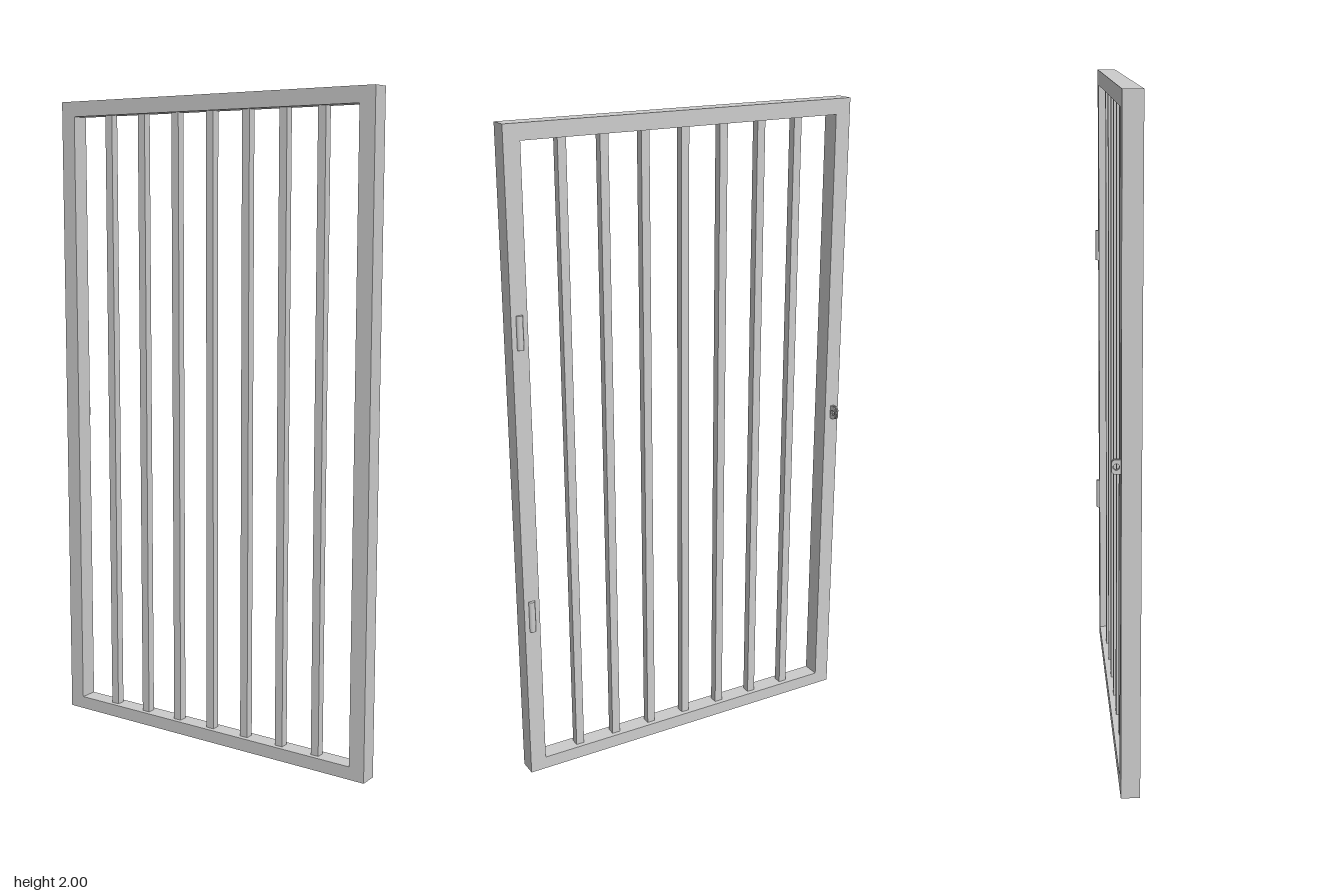
import * as THREE from 'three';

const material = new THREE.MeshStandardMaterial({ color: 0xcccccc });
const HALF_WIDTH = 0.565, HEIGHT = 2;
const FRONT = 0.04, BACK = -0.016;
const SIDE = 0.05, TOP = 0.047, BOTTOM = 0.04;

function add(group, name, geometry, x = 0, y = 0, z = 0) {
  const mesh = new THREE.Mesh(geometry, material);
  mesh.name = name;
  mesh.position.set(x, y, z);
  group.add(mesh);
  return mesh;
}

function rectangle(target, x0, y0, x1, y1) {
  target.moveTo(x0, y0);
  target.lineTo(x1, y0);
  target.lineTo(x1, y1);
  target.lineTo(x0, y1);
  target.closePath();
  return target;
}

// Plate with a rounded outer end and a round hole, for a padlock
function lugGeometry(thickness) {
  const r = 0.012;
  const shape = new THREE.Shape();
  shape.moveTo(0, -0.021);
  shape.lineTo(0.026 - r, -0.021);
  shape.absarc(0.026 - r, -0.021 + r, r, -Math.PI / 2, 0, false);
  shape.absarc(0.026 - r, 0.021 - r, r, 0, Math.PI / 2, false);
  shape.lineTo(0, 0.021);
  shape.closePath();
  shape.holes.push(new THREE.Path().absarc(0.0125, 0, 0.009, 0, Math.PI * 2, true));
  return new THREE.ExtrudeGeometry(shape, { depth: thickness, bevelEnabled: false, curveSegments: 8 })
    .translate(0, 0, -thickness / 2)
    .rotateY(Math.PI / 2);
}

export function createModel() {
  const gate = new THREE.Group();
  gate.name = 'barredGate';

  // Rectangular frame
  const outline = rectangle(new THREE.Shape(), -HALF_WIDTH, 0, HALF_WIDTH, HEIGHT);
  outline.holes.push(rectangle(new THREE.Path(), -HALF_WIDTH + SIDE, BOTTOM, HALF_WIDTH - SIDE, HEIGHT - TOP));
  add(gate, 'frame', new THREE.ExtrudeGeometry(outline, { depth: FRONT - BACK, bevelEnabled: false }), 0, 0, BACK);

  // Seven square upright bars
  const barLength = HEIGHT - TOP - BOTTOM;
  const barGeometry = new THREE.BoxGeometry(0.026, barLength, 0.026);
  for (let i = -3; i <= 3; i++) {
    add(gate, 'bar', barGeometry, i * 0.129, BOTTOM + barLength / 2, (FRONT + BACK) / 2);
  }

  // Hinge barrels half sunk into the back of the left stile
  const hingeGeometry = new THREE.CylinderGeometry(0.01, 0.01, 0.1, 16);
  for (const y of [0.543, 1.427]) add(gate, 'hinge', hingeGeometry, 0.54, y, BACK);

  // Pair of padlock lugs on the back of the right stile
  const lug = lugGeometry(0.004);
  for (const x of [-0.5465, -0.5375]) add(gate, 'lockLug', lug, x, 1.003, BACK);

  return gate;
}
